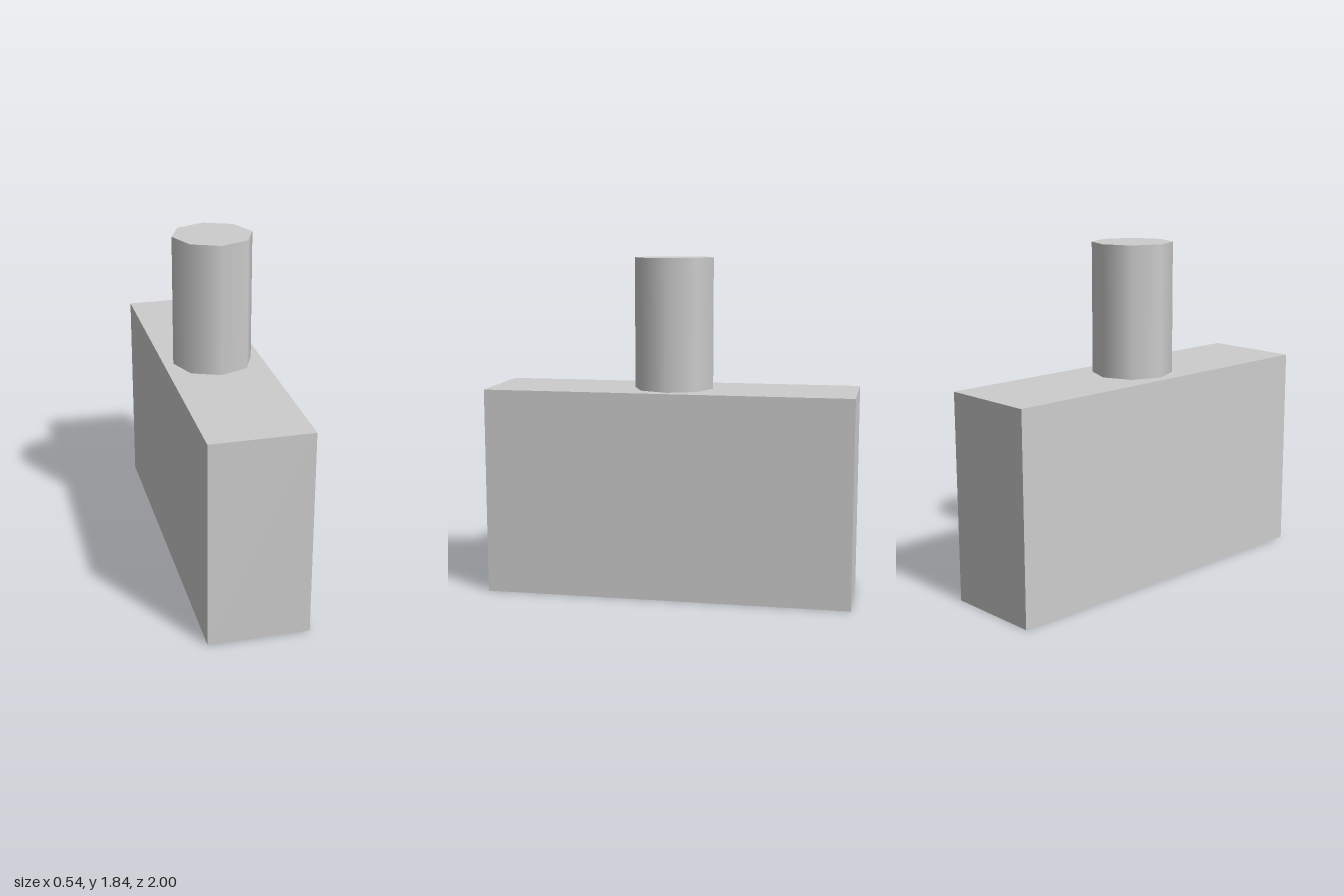
import * as THREE from 'three';

const BODY = { width: 0.54, height: 1.13, depth: 2 };
const POST = { radius: 0.217, height: 0.71, sides: 8 };

export function createModel() {
  const model = new THREE.Group();
  model.name = 'blockWithPost';

  const grey = new THREE.MeshStandardMaterial({ color: 0xcccccc });
  grey.name = 'light grey';

  // Long block standing on the ground
  const body = new THREE.Mesh(new THREE.BoxGeometry(BODY.width, BODY.height, BODY.depth), grey);
  body.name = 'body';
  body.position.y = BODY.height / 2;
  model.add(body);

  // Eight-sided, smooth-shaded post centred on the block
  const post = new THREE.Mesh(
    new THREE.CylinderGeometry(POST.radius, POST.radius, POST.height, POST.sides),
    grey
  );
  post.name = 'post';
  post.position.y = BODY.height + POST.height / 2;
  model.add(post);

  return model;
}
